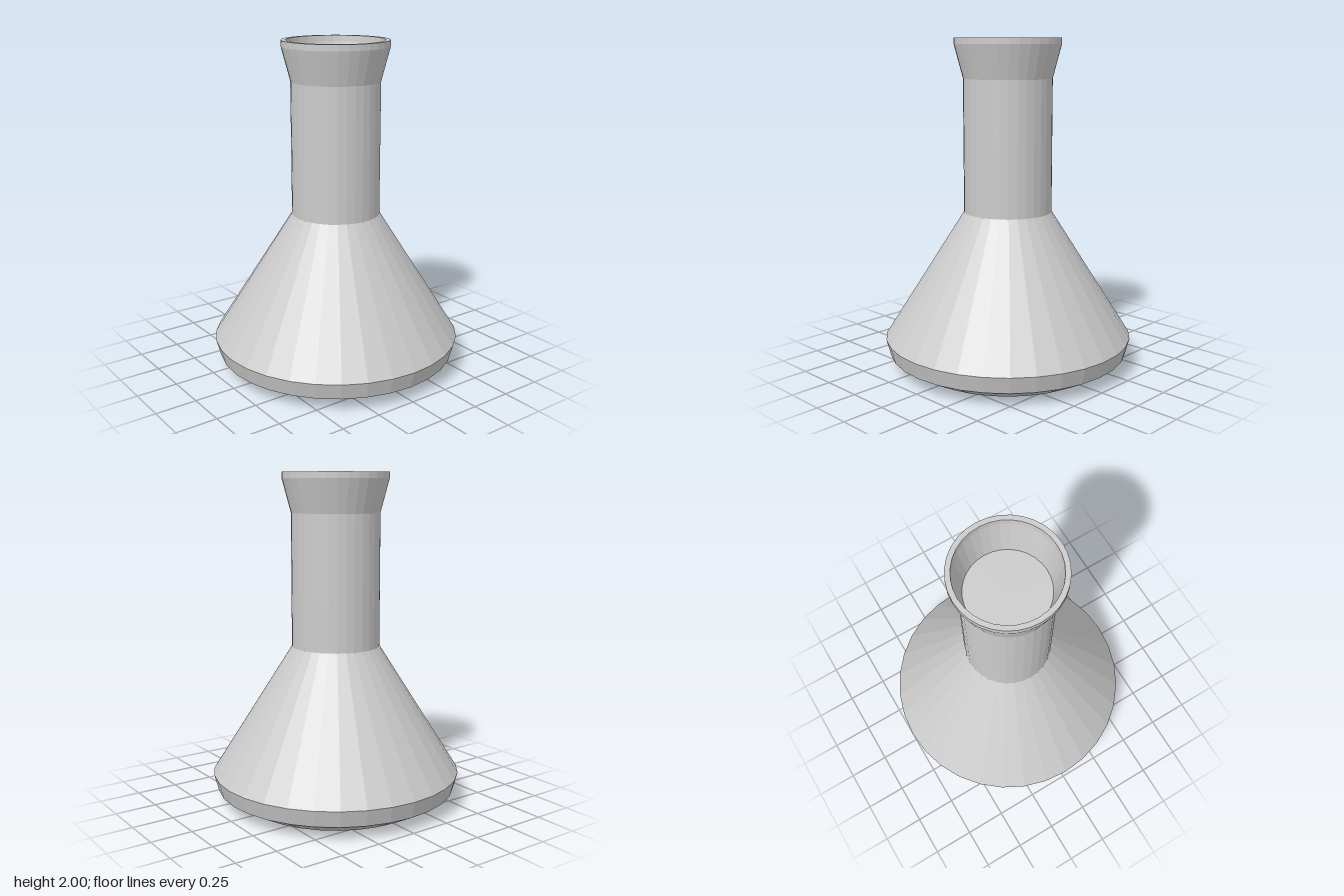
import * as THREE from 'three';

const SIDES = 32;
const material = new THREE.MeshStandardMaterial({ color: 0xcccccc, flatShading: true });

// Faceted solid of revolution from [radius, height] pairs
function turned(name, profile) {
  const points = profile.map(([r, y]) => new THREE.Vector2(r, y));
  const mesh = new THREE.Mesh(new THREE.LatheGeometry(points, SIDES), material);
  mesh.name = name;
  return mesh;
}

export function createModel() {
  const flask = new THREE.Group();
  flask.name = 'flask';

  // Flat underside, bevelled foot and conical body
  flask.add(turned('body', [[0, 0], [0.573, 0], [0.73, 0.085], [0.757, 0.186], [0.267, 0.96]]));

  // Straight neck
  flask.add(turned('neck', [[0.267, 0.96], [0.267, 1.763]]));

  // Flared lip with a flat rim
  flask.add(turned('lip', [[0.267, 1.763], [0.32, 1.963], [0.32, 2], [0.29, 2]]));

  // Recessed mouth, closed by a flat floor
  flask.add(turned('mouth', [[0.29, 2], [0.287, 1.963], [0.243, 1.752], [0, 1.752]]));

  return flask;
}
